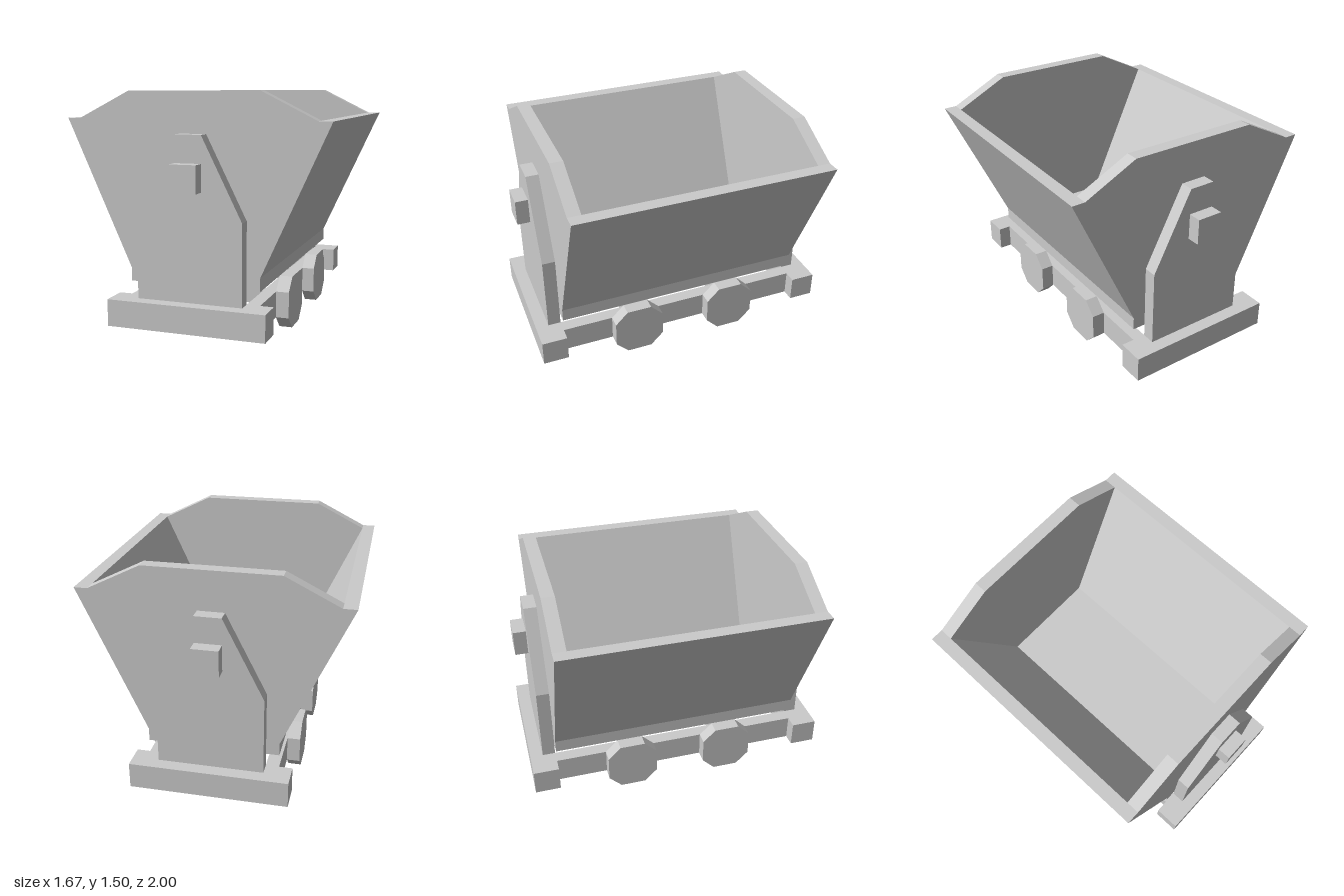
import * as THREE from 'three';

const U = 1 / 12; // modelling unit: every dimension is a whole number of these

export function createModel() {
  const model = new THREE.Group();
  model.name = 'tippingMineCart';
  const material = new THREE.MeshStandardMaterial({ color: 0xcccccc, flatShading: true });

  function add(parent, name, geometry, x = 0, y = 0, z = 0) {
    const mesh = new THREE.Mesh(geometry, material);
    mesh.name = name;
    mesh.position.set(x * U, y * U, z * U);
    parent.add(mesh);
    return mesh;
  }
  const box = (w, h, d) => new THREE.BoxGeometry(w * U, h * U, d * U);

  // Plate with the given outline, its thickness centred on z = 0
  function plate(points, depth) {
    const shape = new THREE.Shape(points.map(([x, y]) => new THREE.Vector2(x * U, y * U)));
    return new THREE.ExtrudeGeometry(shape, { depth: depth * U, bevelEnabled: false })
      .translate(0, 0, -depth * U / 2);
  }
  // Completes a right-hand outline with its mirror image
  const mirrored = (half) => [...half, ...half.map(([x, y]) => [-x, y]).reverse()];

  // Bin: open trough closed by two raised end panels
  const bin = new THREE.Group();
  bin.name = 'bin';
  model.add(bin);
  add(bin, 'trough', plate(mirrored([[5, 4], [5, 5], [10, 16], [9, 16], [4, 5]]), 18));
  const endPanel = plate(mirrored([[5, 4], [5, 5], [10, 16], [9, 16], [5, 18]]), 1);

  // Chassis: side rails joined by end beams
  const chassis = new THREE.Group();
  chassis.name = 'chassis';
  model.add(chassis);
  const support = plate(mirrored([[4, 3], [4, 9], [1, 15]]), 1);

  for (const s of [1, -1]) {
    add(bin, 'endPanel', endPanel, 0, 0, s * 9.5);
    add(bin, 'pivotPin', box(2, 2, 1), 0, 12, s * 11.5);
    add(chassis, 'binSupport', support, 0, 0, s * 10.5);
    add(chassis, 'endBeam', box(12, 2, 2), 0, 2, s * 11);
    add(chassis, 'sideRail', box(1, 2, 20), s * 4.5, 2, 0);
  }

  // Wheel sets: a square axle with an eight-sided wheel at each end
  const wheel = plate(mirrored([[1, -2], [2, -1], [2, 1], [1, 2]]), 1).rotateY(Math.PI / 2);
  for (const z of [4, -4]) {
    const wheelSet = new THREE.Group();
    wheelSet.name = 'wheelSet';
    wheelSet.position.set(0, 2 * U, z * U);
    model.add(wheelSet);
    add(wheelSet, 'axle', box(8, 1, 1));
    for (const s of [1, -1]) add(wheelSet, 'wheel', wheel, s * 5.5);
  }

  return model;
}
